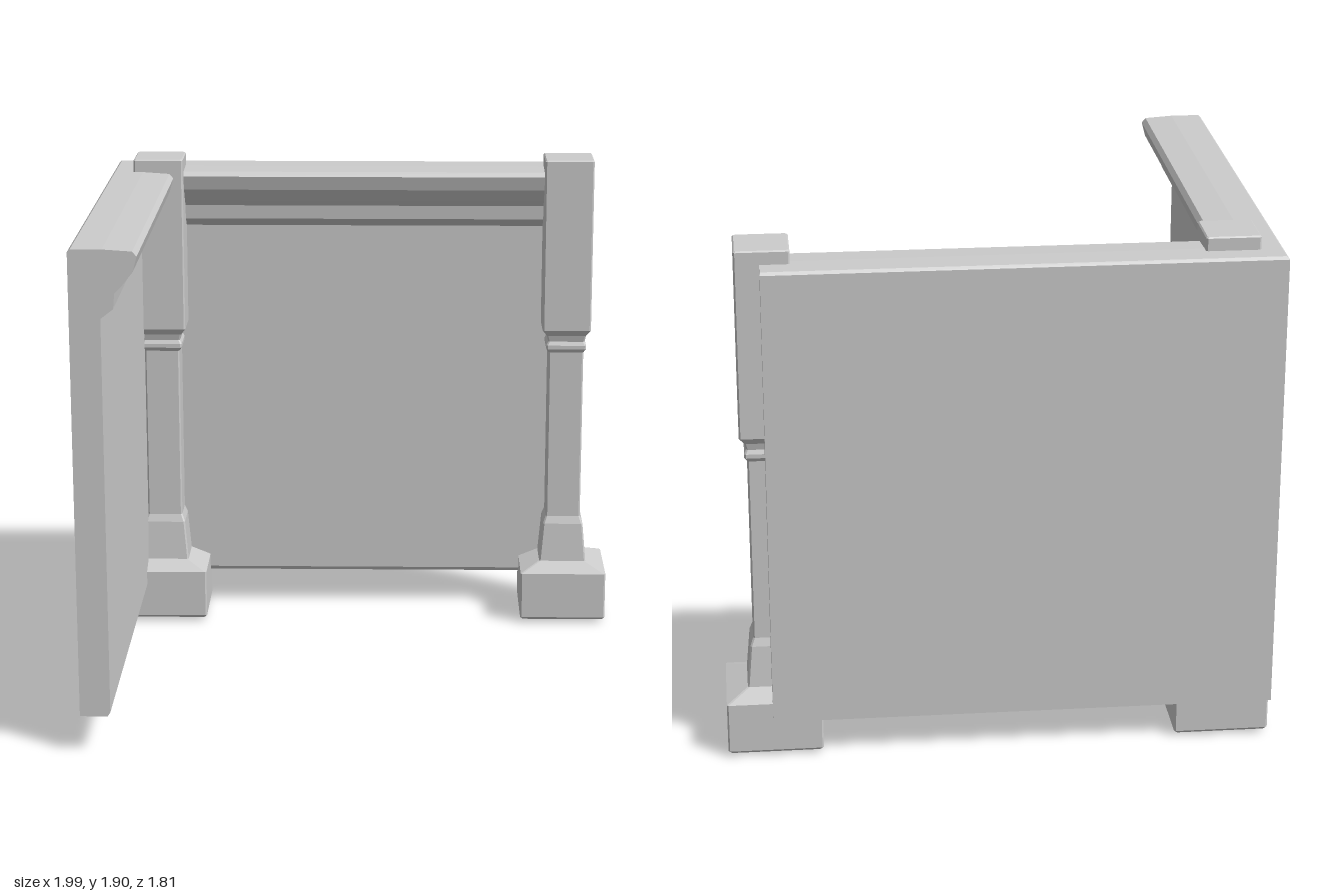
import * as THREE from 'three';

const material = new THREE.MeshStandardMaterial({ color: 0xcccccc, flatShading: true });

// Wall cross-section: [depth inward from the outer face, height]
const wallProfile = [
  [0, 0.14], [0.1, 0.14], [0.11, 0.155], [0.11, 1.605], [0.155, 1.64], [0.16, 1.695],
  [0.185, 1.72], [0.225, 1.77], [0.24, 1.825], [0.225, 1.843], [0.12, 1.85], [0.01, 1.85], [0, 1.84],
];

// Post silhouette: [half width, height]
const postProfile = [
  [0.1, 0], [0.165, 0.012], [0.173, 0.022], [0.173, 0.208], [0.095, 0.24], [0.081, 0.395],
  [0.07, 0.425], [0.07, 1.115], [0.08, 1.13], [0.08, 1.145], [0.073, 1.16], [0.079, 1.185],
  [0.097, 1.21], [0.097, 1.895], [0.092, 1.9],
];

// Moulded panel running along +z, its start mitred at 45 degrees for the corner
function wallGeometry(length, side) {
  const shape = new THREE.Shape(wallProfile.map(([d, y]) => new THREE.Vector2(d * side, y)));
  const geometry = new THREE.ExtrudeGeometry(shape, { depth: length, bevelEnabled: false });
  const p = geometry.attributes.position;
  for (let i = 0; i < p.count; i++) {
    if (p.getZ(i) < 0.001) p.setZ(i, Math.abs(p.getX(i)));
  }
  geometry.computeVertexNormals();
  return geometry;
}

// Square post with narrow corner chamfers, lofted through its silhouette
function postGeometry() {
  const positions = [], index = [], n = 8;
  for (const [h, y] of postProfile) {
    const c = h - 0.006;
    for (const [x, z] of [[h, c], [c, h], [-c, h], [-h, c], [-h, -c], [-c, -h], [c, -h], [h, -c]]) {
      positions.push(x, y, z);
    }
  }
  const last = (postProfile.length - 1) * n;
  for (let r = 0; r < last; r += n) {
    for (let i = 0; i < n; i++) {
      const a = r + i, b = r + (i + 1) % n;
      index.push(a, a + n, b, b, a + n, b + n);
    }
  }
  for (let i = 1; i < n - 1; i++) {
    index.push(0, i, i + 1, last, last + i + 1, last + i);
  }
  const geometry = new THREE.BufferGeometry();
  geometry.setAttribute('position', new THREE.Float32BufferAttribute(positions, 3));
  geometry.setIndex(index);
  const flat = geometry.toNonIndexed();
  flat.computeVertexNormals();
  return flat;
}

export function createModel() {
  const group = new THREE.Group();
  group.name = 'cornerWall';
  const add = (name, geometry, x, z) => {
    const mesh = new THREE.Mesh(geometry, material);
    mesh.name = name;
    mesh.position.set(x, 0, z);
    group.add(mesh);
  };

  // Two walls meeting at the back right corner
  add('sideWall', wallGeometry(1.81, 1), -0.99, -0.9);
  add('backWall', wallGeometry(1.82, -1).rotateY(Math.PI / 2), -0.99, -0.9);

  // Posts at the corner and at the free end of the back wall
  const post = postGeometry();
  add('cornerPost', post, -0.81, -0.715);
  add('endPost', post, 0.822, -0.715);
  return group;
}
